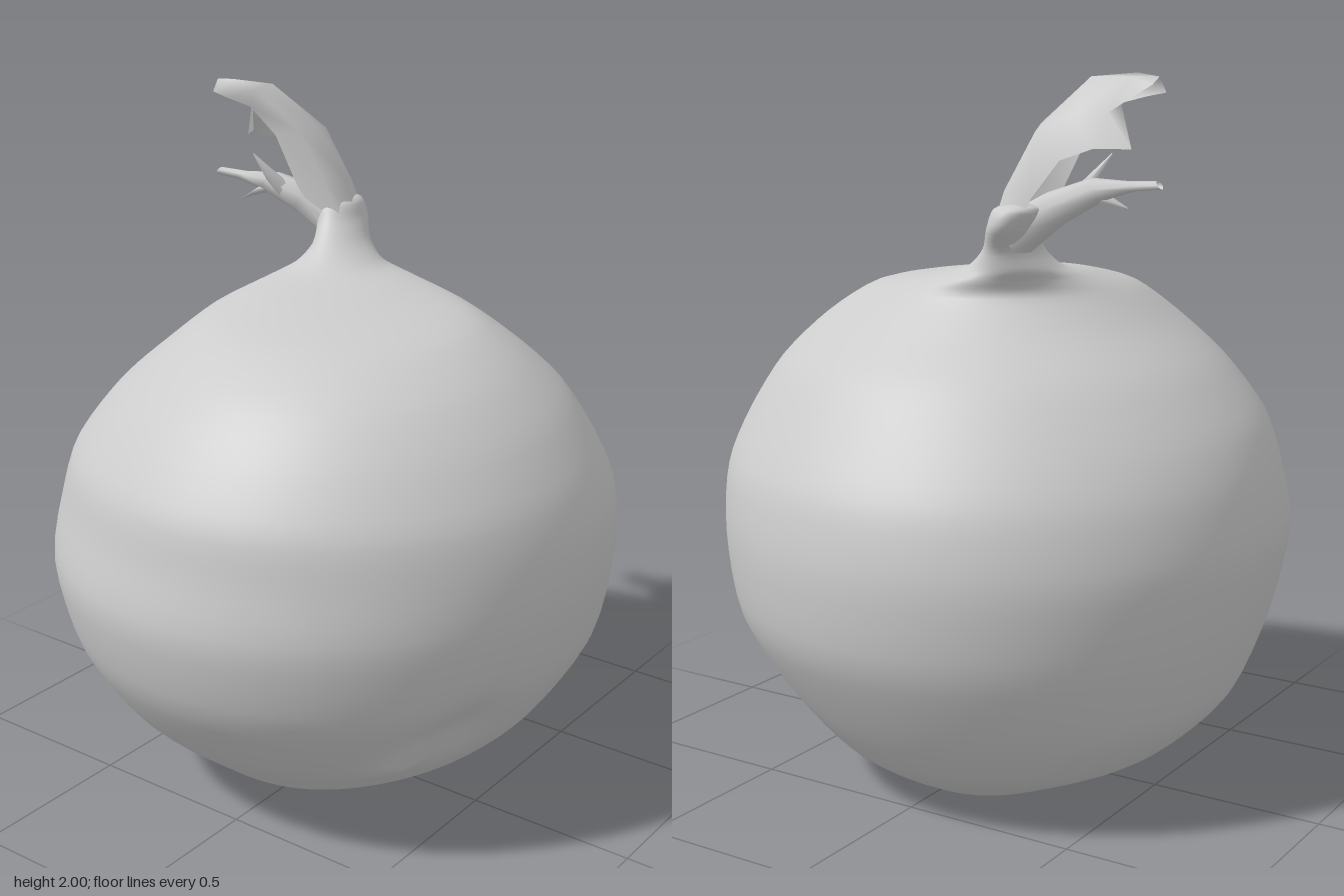
import * as THREE from 'three';

const skin = new THREE.MeshStandardMaterial({ color: 0xcccccc, side: THREE.DoubleSide });
skin.name = 'plain grey skin';

// Skins rows of points (bottom to top); closed rows wrap round
function loft(rows, closed) {
  const n = rows[0].length, index = [];
  const geo = new THREE.BufferGeometry().setFromPoints(rows.flat());
  for (let j = 0; j < rows.length - 1; j++) {
    for (let i = 0; i < (closed ? n : n - 1); i++) {
      const k = (i + 1) % n, a = j * n + i, b = j * n + k;
      index.push(a, a + n, b, b, a + n, b + n);
    }
  }
  geo.setIndex(index);
  geo.computeVertexNormals();
  return geo;
}

function part(name, geo) {
  const mesh = new THREE.Mesh(geo, skin);
  mesh.name = name;
  return mesh;
}

// Bulb and neck: height, then left, right, back and front limits
const RINGS = [
  [0.0, 0.04, 0.06, -0.08, -0.06],
  [0.005, -0.12, 0.33, -0.24, 0.1],
  [0.04, -0.33, 0.43, -0.36, 0.28],
  [0.13, -0.46, 0.57, -0.54, 0.45],
  [0.28, -0.63, 0.69, -0.69, 0.61],
  [0.5, -0.79, 0.81, -0.77, 0.75],
  [0.73, -0.85, 0.835, -0.81, 0.8],
  [0.91, -0.82, 0.8, -0.78, 0.8],
  [1.05, -0.79, 0.72, -0.72, 0.76],
  [1.2, -0.69, 0.61, -0.6, 0.67],
  [1.32, -0.57, 0.47, -0.46, 0.55],
  [1.41, -0.41, 0.37, -0.36, 0.39],
  [1.455, -0.18, 0.35, -0.3, 0.14],
  [1.485, 0.04, 0.34, -0.27, -0.02],
  [1.54, 0.13, 0.345, -0.24, -0.1],
  [1.6, 0.19, 0.38, -0.26, -0.14],
  [1.65, 0.22, 0.37, -0.28, -0.16],
  [1.67, 0.28, 0.3, -0.23, -0.21],
];

function bulbGeometry() {
  const V = (x, y, z) => new THREE.Vector3(x, y, z);
  const centres = new THREE.CatmullRomCurve3(
    RINGS.map(([y, l, r, b, f]) => V((l + r) / 2, y, (b + f) / 2)), false, 'catmullrom', 0.4);
  const radii = new THREE.CatmullRomCurve3(
    RINGS.map(([y, l, r, b, f]) => V((r - l) / 2, y, (f - b) / 2)), false, 'catmullrom', 0.4);
  const bump = (x, y, s) => Math.exp(-(x * x + y * y) / (s * s));
  const rows = [], steps = (RINGS.length - 1) * 4, segs = 96;
  for (let j = 0; j <= steps; j++) {
    const c = centres.getPoint(j / steps), r = radii.getPoint(j / steps), row = [];
    for (let i = 0; i < segs; i++) {
      const a = (i / segs) * Math.PI * 2;
      const p = V(c.x + r.x * Math.cos(a), Math.max(0, c.y), c.z + r.z * Math.sin(a));
      // Small dent with a raised lip low on the front
      if (p.z > 0) {
        const d = 0.05 * bump(p.x + 0.39, p.y - 0.31, 0.06) - 0.05 * bump(p.x + 0.31, p.y - 0.41, 0.09);
        p.x += d * Math.cos(a);
        p.z += d * Math.sin(a);
      }
      row.push(p);
    }
    rows.push(row);
  }
  return loft(rows, true);
}

// Dry leaf: open arched sections that curl backwards and split at the tip
const LEAF = [
  [[0.2, 1.6, -0.23], [0.23, 1.6, -0.16], [0.29, 1.6, -0.15], [0.36, 1.6, -0.18], [0.34, 1.6, -0.25]],
  [[0.18, 1.7, -0.29], [0.2, 1.72, -0.21], [0.26, 1.73, -0.18], [0.33, 1.7, -0.2], [0.33, 1.68, -0.28]],
  [[0.17, 1.84, -0.36], [0.17, 1.86, -0.27], [0.23, 1.87, -0.25], [0.31, 1.85, -0.28], [0.32, 1.78, -0.36]],
  [[0.14, 1.92, -0.43], [0.11, 1.98, -0.38], [0.16, 1.99, -0.36], [0.27, 1.9, -0.38], [0.29, 1.81, -0.44]],
  [[0.13, 1.94, -0.51], [0.11, 2.0, -0.47], [0.16, 1.99, -0.47], [0.23, 1.9, -0.45], [0.25, 1.81, -0.53]],
  [[0.14, 1.95, -0.57], [0.14, 1.99, -0.55], [0.18, 1.97, -0.55], [0.2, 1.93, -0.47], [0.24, 1.83, -0.5]],
];

// Tapering sprig: each point is x, y, z, radius
function sprig(points) {
  const rows = points.map(([x, y, z, r]) => {
    const row = [];
    for (let i = 0; i < 7; i++) {
      const a = (i / 7) * Math.PI * 2;
      row.push(new THREE.Vector3(x + r * Math.cos(a), y + r * 0.75 * Math.sin(a), z + r * 0.5 * Math.sin(a)));
    }
    return row;
  });
  return loft(rows, true);
}

export function createModel() {
  const group = new THREE.Group();
  group.name = 'onion';
  group.add(part('bulb', bulbGeometry()));
  group.add(part('curledLeaf', loft(LEAF.map(s => s.map(p => new THREE.Vector3(...p))), false)));
  group.add(part('lowerSprig', sprig([
    [0.28, 1.58, -0.2, 0.07], [0.23, 1.65, -0.29, 0.055], [0.18, 1.7, -0.39, 0.04],
    [0.16, 1.71, -0.48, 0.018], [0.15, 1.715, -0.56, 0.015]])));
  group.add(part('upperSpike', sprig([
    [0.2, 1.66, -0.33, 0.03], [0.15, 1.72, -0.36, 0.02], [0.115, 1.79, -0.4, 0.002]])));
  group.add(part('sideSpike', sprig([
    [0.19, 1.69, -0.37, 0.03], [0.15, 1.67, -0.42, 0.018], [0.12, 1.65, -0.45, 0.002]])));
  return group;
}
